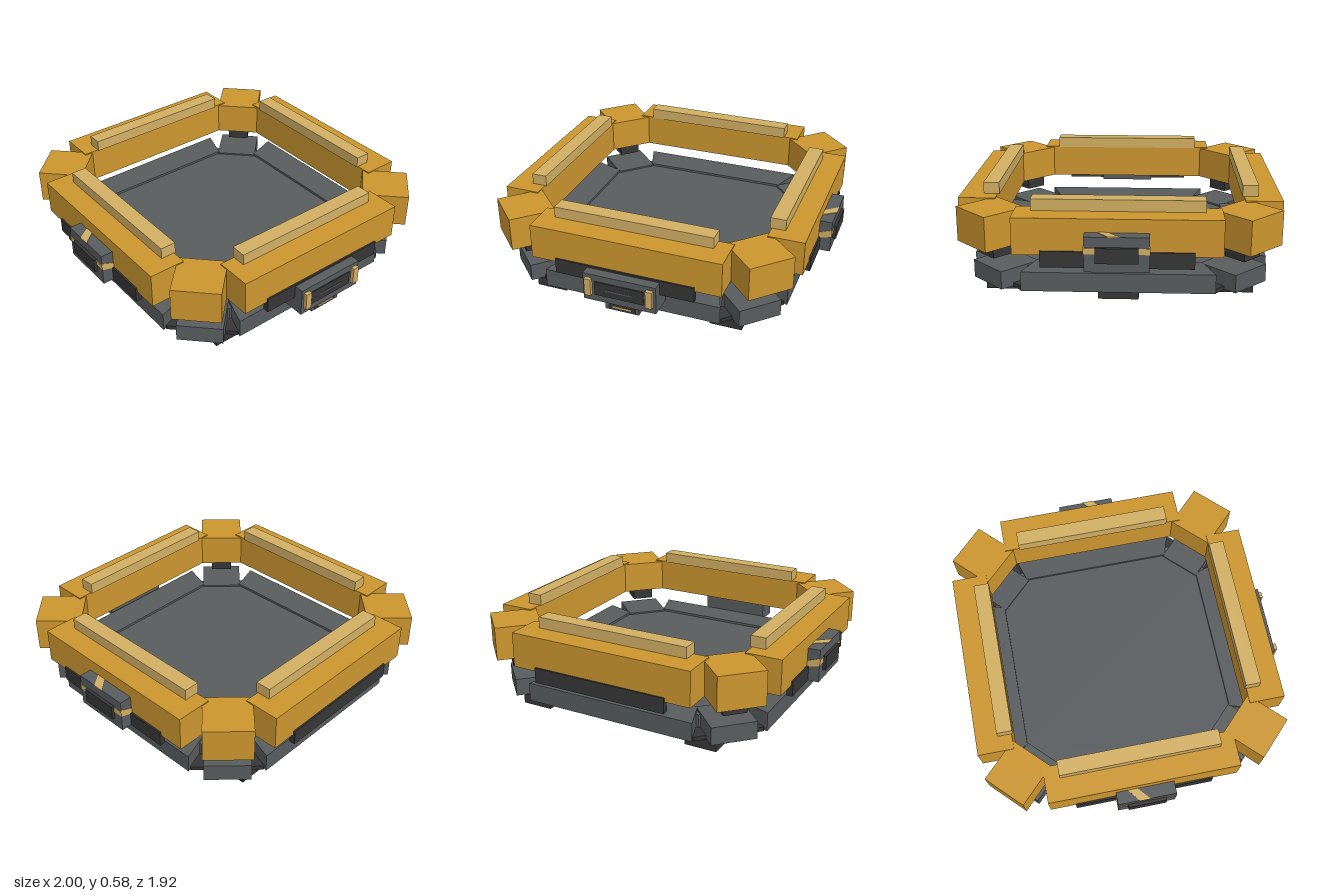
import * as THREE from 'three';

const mat = (name, color) => new THREE.MeshStandardMaterial({ name, color, flatShading: true });

export function createModel() {
  const gold = mat('gold', 0xcc962f);
  const paleGold = mat('pale gold', 0xd2b064);
  const grey = mat('slate grey', 0x585c5e);
  const dark = mat('dark grey', 0x363636);

  const model = new THREE.Group();
  model.name = 'squareFramePlatform';
  // all main parts are centred slightly behind the origin
  const body = new THREE.Group();
  body.name = 'body';
  body.position.z = -0.04;
  model.add(body);

  // box from its minimum and maximum on each axis
  function box(parent, name, m, x0, x1, y0, y1, z0, z1) {
    const mesh = new THREE.Mesh(new THREE.BoxGeometry(x1 - x0, y1 - y0, z1 - z0), m);
    mesh.position.set((x0 + x1) / 2, (y0 + y1) / 2, (z0 + z1) / 2);
    mesh.name = name;
    parent.add(mesh);
    return mesh;
  }

  // horizontal slab from an outline of [x, z] points
  function slab(parent, name, m, pts, y0, y1) {
    const shape = new THREE.Shape(pts.map(([x, z]) => new THREE.Vector2(x, z)));
    const geo = new THREE.ExtrudeGeometry(shape, { depth: y1 - y0, bevelEnabled: false });
    geo.rotateX(Math.PI / 2).translate(0, y1, 0);
    const mesh = new THREE.Mesh(geo, m);
    mesh.name = name;
    parent.add(mesh);
    return mesh;
  }

  const octagon = (h, c) => [[h, -c], [h, c], [c, h], [-c, h], [-h, c], [-h, -c], [-c, -h], [c, -h]];

  // base: underside plate and floor
  slab(body, 'undersidePlate', dark, octagon(0.81, 0.53), 0.065, 0.09);
  slab(body, 'floor', grey, octagon(0.7, 0.5), 0.09, 0.165);

  for (let i = 0; i < 4; i++) {
    // one side of the frame, repeated around
    const side = new THREE.Group();
    side.name = 'side' + (i + 1);
    side.rotation.y = (i * Math.PI) / 2;
    body.add(side);
    slab(side, 'baseBeam', grey, [[-0.53, 0.83], [-0.465, 0.64], [0.465, 0.64], [0.53, 0.83]], 0.07, 0.18);
    box(side, 'upperBeam', gold, -0.56, 0.56, 0.31, 0.515, 0.7, 0.91);
    box(side, 'topRail', paleGold, -0.47, 0.47, 0.513, 0.58, 0.69, 0.78);
    box(side, 'sideStrip', dark, -0.41, 0.41, 0.245, 0.335, 0.885, 0.92);

    // one corner, turned by 45 degrees
    const corner = new THREE.Group();
    corner.name = 'corner' + (i + 1);
    corner.rotation.y = Math.PI / 4 + (i * Math.PI) / 2;
    body.add(corner);
    box(corner, 'upperCornerBlock', gold, -0.135, 0.135, 0.31, 0.508, 0.855, 1.125);
    box(corner, 'cornerStud', dark, -0.067, 0.067, 0.235, 0.315, 0.895, 1.03);
    box(corner, 'baseCornerBlock', grey, -0.13, 0.13, 0.072, 0.175, 0.77, 1.029);
  }

  // six feet
  for (const s of [1, -1]) {
    const mid = s * 0.67, end = s * 0.54;
    box(body, 'middleFoot', dark, mid - 0.088, mid + 0.088, 0, 0.07, -0.113, 0.113);
    for (const z of [0.66, -0.66])
      box(body, 'cornerFoot', dark, end - 0.094, end + 0.094, 0, 0.07, z - 0.094, z + 0.094);
  }

  // connector on each flank, with a slanted painted band
  for (let i = 0; i < 2; i++) {
    const port = new THREE.Group();
    port.name = i ? 'rightConnector' : 'leftConnector';
    port.rotation.y = i * Math.PI;
    body.add(port);
    box(port, 'connectorBody', grey, 0.82, 0.982, 0.247, 0.44, -0.172, 0.172);
    box(port, 'connectorSocket', dark, 0.97, 1.0, 0.3, 0.385, -0.113, 0.113);
    slab(port, 'topBand', paleGold, [[0.9, 0.11], [0.9, 0.055], [0.985, -0.02], [0.985, 0.045]], 0.438, 0.443);
    for (const s of [1, -1]) {
      const shape = new THREE.Shape();
      shape.moveTo(0.9, 0.325).lineTo(0.984, 0.347).lineTo(0.984, 0.392).lineTo(0.9, 0.36).closePath();
      const band = new THREE.Mesh(new THREE.ExtrudeGeometry(shape, { depth: 0.005, bevelEnabled: false }), paleGold);
      band.position.z = s > 0 ? 0.17 : -0.175;
      band.name = 'endBand';
      port.add(band);
      box(port, 'faceBand', paleGold, 0.98, 0.985, 0.347, 0.38, s * 0.143 - 0.029, s * 0.143 + 0.029);
    }
  }

  // front connector
  const front = new THREE.Group();
  front.name = 'frontConnector';
  model.add(front);
  box(front, 'connectorBody', grey, -0.215, 0.215, 0.157, 0.325, 0.8, 0.936);
  box(front, 'connectorSocket', dark, -0.145, 0.145, 0.2, 0.285, 0.93, 0.942);
  box(front, 'socketInset', grey, -0.08, 0.08, 0.237, 0.246, 0.938, 0.944);
  for (const s of [1, -1])
    box(front, 'connectorPost', paleGold, s * 0.18 - 0.019, s * 0.18 + 0.019, 0.198, 0.303, 0.93, 0.958);
  box(front, 'lowerHousing', grey, -0.1, 0.1, 0.095, 0.16, 0.78, 0.905);
  box(front, 'lowerPanel', dark, -0.08, 0.08, 0.103, 0.152, 0.902, 0.909);
  for (const [y, w] of [[0.118, 0.055], [0.142, 0.07]])
    box(front, 'lowerPanelStripe', paleGold, -w, w, y - 0.005, y + 0.005, 0.905, 0.911);

  return model;
}
